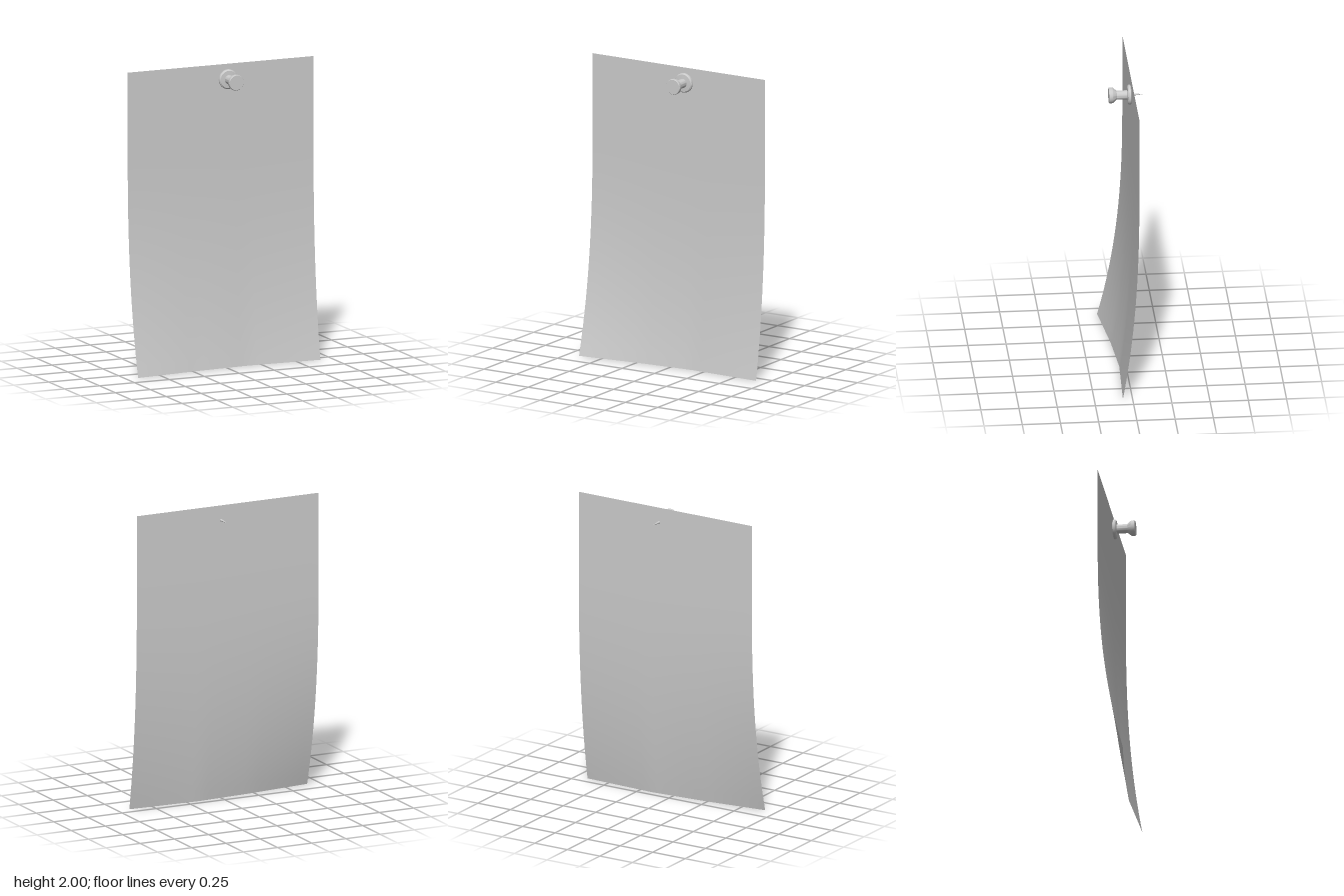
import * as THREE from 'three';
import { toCreasedNormals } from 'three/addons/utils/BufferGeometryUtils.js';

const HALF_WIDTH = 0.665, WALL_Z = -0.045;

// Forward position of the curling bottom edge, as [x, z]
const bottomEdge = [[-0.665, 0.12], [-0.22, 0.07], [0.16, 0.044], [0.665, 0.063]];

function edgeZ(x) {
  for (let i = 1; i < bottomEdge.length; i++) {
    const [x0, z0] = bottomEdge[i - 1], [x1, z1] = bottomEdge[i];
    if (x <= x1 + 1e-6) return THREE.MathUtils.lerp(z0, z1, (x - x0) / (x1 - x0));
  }
  return bottomEdge.at(-1)[1];
}

export function createModel() {
  const model = new THREE.Group();
  model.name = 'pinnedNote';
  const material = new THREE.MeshStandardMaterial({ color: 0xcccccc });

  // Sheet of paper: flat at the top, curling forward towards the bottom
  const sheet = new THREE.PlaneGeometry(HALF_WIDTH * 2, 2, 24, 28).translate(0, 1, 0);
  const p = sheet.attributes.position;
  for (let i = 0; i < p.count; i++) {
    const curl = Math.max(0, (1.5 - p.getY(i)) / 1.5) ** 2.5;
    p.setZ(i, WALL_Z + (edgeZ(p.getX(i)) - WALL_Z) * curl);
  }
  sheet.computeVertexNormals();
  const paper = new THREE.Mesh(sheet,
    new THREE.MeshStandardMaterial({ color: 0xcccccc, side: THREE.DoubleSide }));
  paper.name = 'paper';
  model.add(paper);

  // Push pin: profiles of [radius, z], turned about the z axis
  const pin = new THREE.Group();
  pin.name = 'pushPin';
  pin.position.set(0.048, 1.9, 0);
  model.add(pin);

  function turned(name, profile, sides) {
    const points = profile.map(([r, z]) => new THREE.Vector2(r, z));
    const geometry = new THREE.LatheGeometry(points, sides).rotateX(Math.PI / 2);
    const mesh = new THREE.Mesh(toCreasedNormals(geometry, 0.5), material);
    mesh.name = name;
    pin.add(mesh);
  }

  // Grip with its flange, waist and flared head
  turned('pinGrip', [
    [0, -0.041], [0.06, -0.041], [0.065, -0.037], [0.065, -0.026], [0.058, -0.019],
    [0.03, -0.017], [0.03, 0.053], [0.05, 0.077], [0.052, 0.081], [0.052, 0.1],
    [0.049, 0.104], [0, 0.104],
  ], 32);

  // Needle through the paper
  turned('pinNeedle', [[0, -0.12], [0.003, -0.1], [0.009, -0.04]], 16);

  return model;
}
